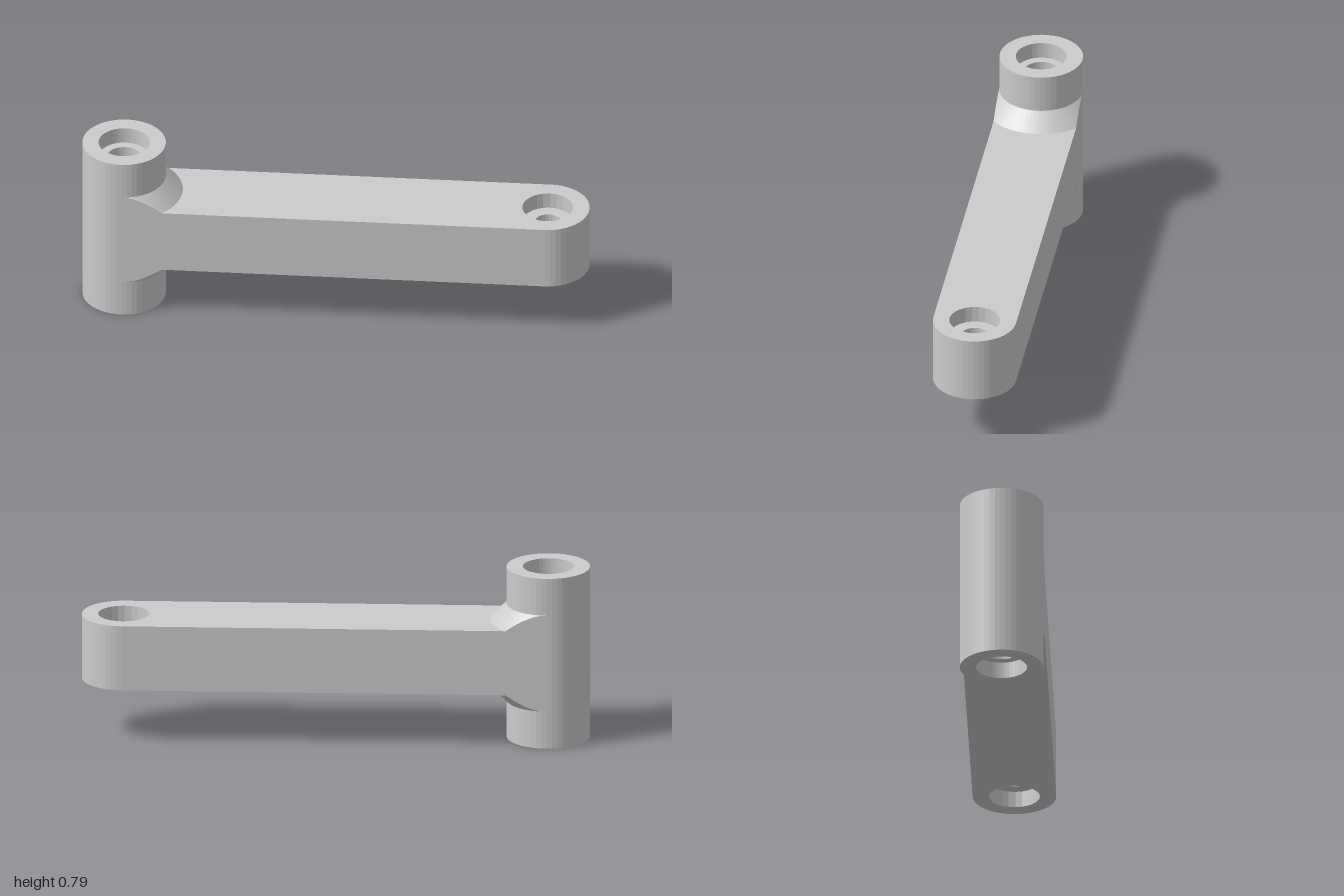
import * as THREE from 'three';

const R = 0.185;             // boss radius and half width of the arm
const LENGTH = 1.882;        // distance between the two bores
const HEIGHT = 0.79;         // boss height
const ARM_LOW = 0.246, ARM_TOP = 0.544;
const FLARE = 0.075;         // size of the 45 degree flare
const SINK = 0.075;          // counterbore depth
const SINK_R = 0.113;        // counterbore radius

const material = new THREE.MeshStandardMaterial({ color: 0xcccccc, flatShading: true });

function addPart(parent, name, geometry) {
  const mesh = new THREE.Mesh(geometry, material);
  mesh.name = name;
  parent.add(mesh);
  return mesh;
}

function lathe(points, segments) {
  return new THREE.LatheGeometry(points.map(([r, y]) => new THREE.Vector2(r, y)), segments);
}

// Straight bar: one end hugs the boss, the other is round with a wide bore
function armGeometry() {
  const shape = new THREE.Shape();
  shape.moveTo(0, -R);
  shape.lineTo(LENGTH, -R);
  shape.absarc(LENGTH, 0, R, -Math.PI / 2, Math.PI / 2, false);
  shape.lineTo(0, R);
  shape.absarc(0, 0, R, Math.PI / 2, -Math.PI / 2, true);
  const bore = new THREE.Path();
  bore.absarc(LENGTH, 0, SINK_R, 0, Math.PI * 2, true);
  shape.holes.push(bore);
  const geometry = new THREE.ExtrudeGeometry(shape, {
    depth: ARM_TOP - ARM_LOW, bevelEnabled: false, curveSegments: 12,
  });
  return geometry.rotateX(-Math.PI / 2).translate(0, ARM_LOW, 0);
}

// Conical flare between boss and arm, trimmed flush with the arm's sides
function flareGeometry() {
  const rings = 8, steps = 24, cols = steps + 3;
  const positions = [], index = [];
  for (let k = 0; k <= rings; k++) {
    const grow = FLARE * (k / rings) ** 2;
    const r = R + grow;
    const limit = Math.asin(R / r);
    for (let j = 0; j < cols; j++) {
      const t = THREE.MathUtils.clamp((j - 1) / steps, 0, 1) * 2 - 1;
      const isBase = j === 0 || j === cols - 1;
      const y = isBase ? ARM_TOP : ARM_TOP + FLARE - grow;
      positions.push(r * Math.cos(limit * t), y, r * Math.sin(limit * t));
      if (k < rings && j < cols - 1) {
        const a = k * cols + j, c = a + cols;
        index.push(a, a + 1, c, a + 1, c + 1, c);
      }
    }
  }
  const geometry = new THREE.BufferGeometry();
  geometry.setAttribute('position', new THREE.Float32BufferAttribute(positions, 3));
  geometry.setIndex(index);
  geometry.computeVertexNormals();
  return geometry;
}

export function createModel() {
  const model = new THREE.Group();
  model.name = 'leverArm';

  // Local frame: boss at the origin, arm along +x
  const lever = new THREE.Group();
  lever.name = 'lever';
  lever.rotation.y = Math.PI / 6;
  lever.position.set(-0.815, 0, 0.47);
  model.add(lever);

  // Tall boss with a stepped through bore
  const hole = 0.076;
  addPart(lever, 'boss', lathe([
    [SINK_R, 0], [R, 0], [R, HEIGHT], [SINK_R, HEIGHT],
    [SINK_R, HEIGHT - SINK], [hole, HEIGHT - SINK],
    [hole, SINK], [SINK_R, SINK], [SINK_R, 0],
  ], 48));

  addPart(lever, 'arm', armGeometry());

  // Narrow collar inside the far bore, leaving a counterbore on each side
  const collar = addPart(lever, 'boreCollar', lathe([
    [SINK_R, ARM_TOP - SINK], [0.058, ARM_TOP - SINK],
    [0.058, ARM_LOW + SINK], [SINK_R, ARM_LOW + SINK],
  ], 24));
  collar.position.x = LENGTH;

  // Flares above and below the arm
  addPart(lever, 'upperFlare', flareGeometry());
  const lower = addPart(lever, 'lowerFlare', flareGeometry());
  lower.rotation.x = Math.PI;
  lower.position.y = ARM_LOW + ARM_TOP;

  return model;
}
